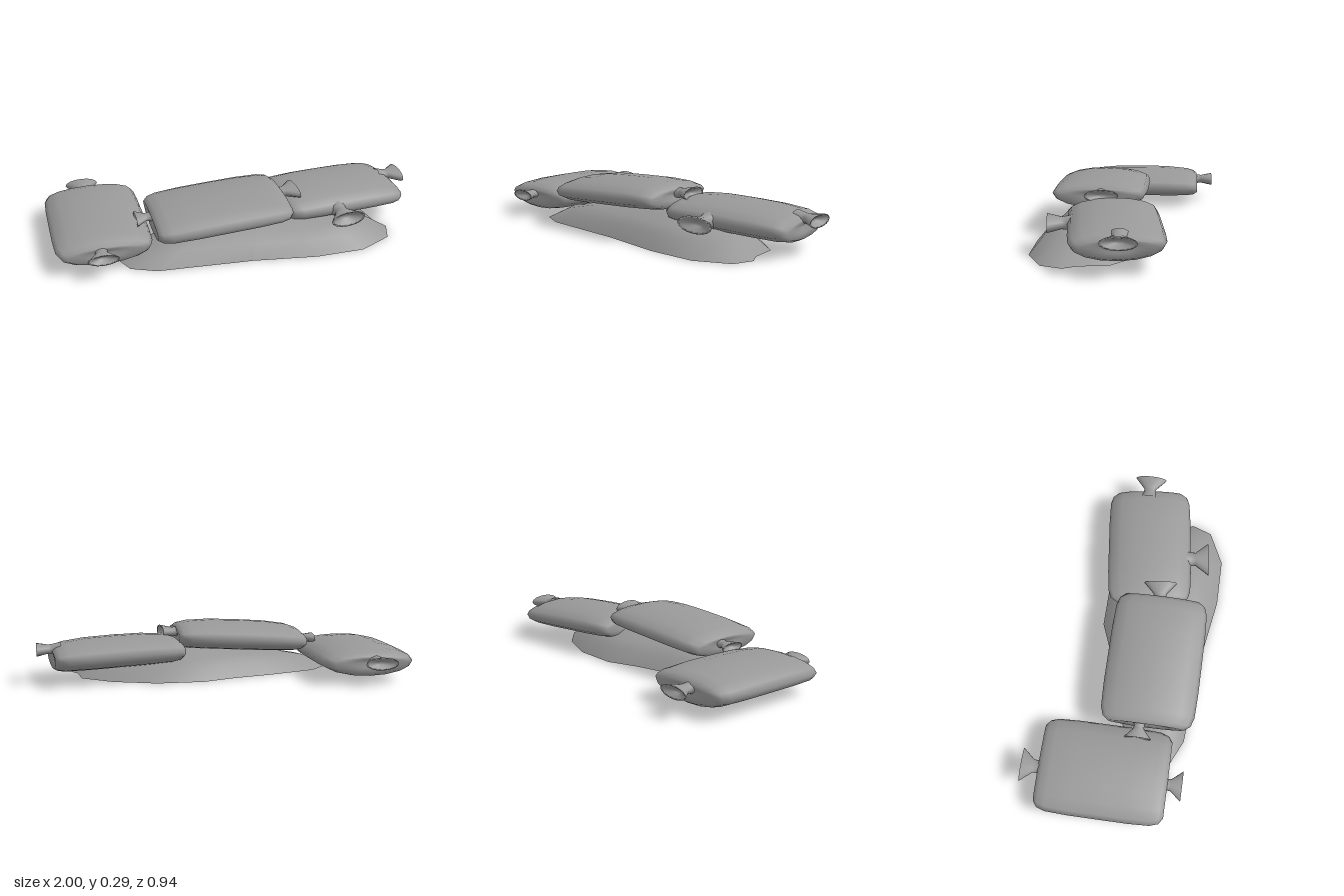
import * as THREE from 'three';

const RING = 16;

// Skin a list of equally long closed rings of [x, y, z] points with smooth normals
function skin(rings) {
  const n = rings[0].length, index = [];
  for (let i = 0; i < rings.length - 1; i++) {
    for (let j = 0; j < n; j++) {
      const a = i * n + j, b = i * n + (j + 1) % n;
      index.push(a, a + n, b, b, a + n, b + n);
    }
  }
  const geo = new THREE.BufferGeometry();
  geo.setAttribute('position', new THREE.Float32BufferAttribute(rings.flat(2), 3));
  geo.setIndex(index);
  geo.computeVertexNormals();
  return geo;
}

// Oval cross-section at x: half width, height above and depth below the axis
function oval(x, w, top, bottom) {
  return Array.from({ length: RING }, (_, j) => {
    const a = j / RING * Math.PI * 2, s = Math.sin(a);
    return [x, s * (s > 0 ? top : bottom), Math.cos(a) * w];
  });
}

export function createModel() {
  const model = new THREE.Group();
  const cloth = new THREE.MeshStandardMaterial({ color: 0x999999 });
  cloth.name = 'grey cloth';
  const earth = cloth;
  earth.side = THREE.DoubleSide;

  function add(parent, geo, name) {
    const mesh = new THREE.Mesh(geo, cloth);
    mesh.name = name;
    parent.add(mesh);
    return mesh;
  }

  // Pillow body: flat underside, rounded top, blunt ends
  const half = [[0, 1, 1, 1], [0.45, 1, 0.97, 1], [0.8, 0.98, 0.82, 0.97], [0.93, 0.92, 0.64, 0.9],
    [0.995, 0.8, 0.4, 0.74], [0.985, 0.4, 0.25, 0.4], [0.96, 0, 0, 0]];
  const stations = [...half.slice(1).reverse().map(([x, ...r]) => [-x, ...r]), ...half];
  const bagGeometry = (L, W, H) =>
    skin(stations.map(([x, w, t, b]) => oval(x * L, w * W, t * H, b * H)));

  // Gathered cloth end: narrow neck flaring to a dished mouth
  const tieGeometry = skin([[-0.03, 0.05, 0.035], [0.01, 0.035, 0.027], [0.035, 0.035, 0.024],
    [0.1, 0.09, 0.034], [0.098, 0.075, 0.026], [0.07, 0.02, 0.01], [0.07, 0, 0]]
    .map(([x, w, h]) => oval(x, w, h, h)));

  function addTie(parent, x, y, z, turn, scale = 1) {
    const tie = add(parent, tieGeometry, 'tiedEnd');
    tie.position.set(x, y, z);
    tie.rotation.y = turn;
    tie.scale.setScalar(scale);
    return tie;
  }

  function addBag(name, [L, W, H], position, turn, tilt) {
    const bag = new THREE.Group();
    bag.name = name;
    add(bag, bagGeometry(L, W, H), 'sackBody');
    bag.position.set(...position);
    bag.rotation.set(0, turn, tilt);
    model.add(bag);
    return bag;
  }

  // Sack lying front to back
  const right = addBag('rightSack', [0.345, 0.255, 0.083], [-0.745, 0.113, -0.035], Math.PI / 2, 0);
  addTie(right, 0.335, 0.008, -0.025, 0);
  addTie(right, -0.33, 0.008, -0.025, Math.PI, 0.9);

  // Sack lying on top of the mound
  const middle = addBag('middleSack', [0.362, 0.256, 0.08], [-0.125, 0.206, 0.155], 0, 0.055);
  addTie(middle, 0.345, 0.008, -0.015, 0.1);
  addTie(middle, -0.355, -0.002, -0.035, Math.PI, 0.8);

  // Sack on the far slope, with a second gathered end on its front edge
  const left = addBag('leftSack', [0.35, 0.235, 0.083], [0.575, 0.15, 0.037], 0.12, -0.035);
  addTie(left, 0.325, 0.04, -0.005, -0.1);
  const frontTie = addTie(left, -0.075, -0.004, 0.225, -Math.PI / 2);
  frontTie.scale.set(1.1, 1.3, 1.12);

  // Low earth mound, open underneath: the outline shrinks as it rises
  const outline = [[-0.68, 0.2], [-0.55, 0.06], [-0.3, -0.03], [-0.05, -0.1], [0.12, -0.168], [0.37, -0.165],
    [0.6, -0.08], [0.76, 0.05], [0.78, 0.2], [0.82, 0.27], [0.78, 0.38], [0.6, 0.465], [0.34, 0.465],
    [0, 0.41], [-0.5, 0.37], [-0.63, 0.31]];
  const levels = [[1, 0], [0.82, 0.07], [0.6, 0.105], [0.3, 0.138], [0, 0.145]];
  const cx = 0.15, cz = 0.14;
  add(model, skin(levels.map(([s, y]) =>
    outline.map(([x, z]) => [cx + (x - cx) * s, y, cz + (z - cz) * s]))), 'mound');

  return model;
}
